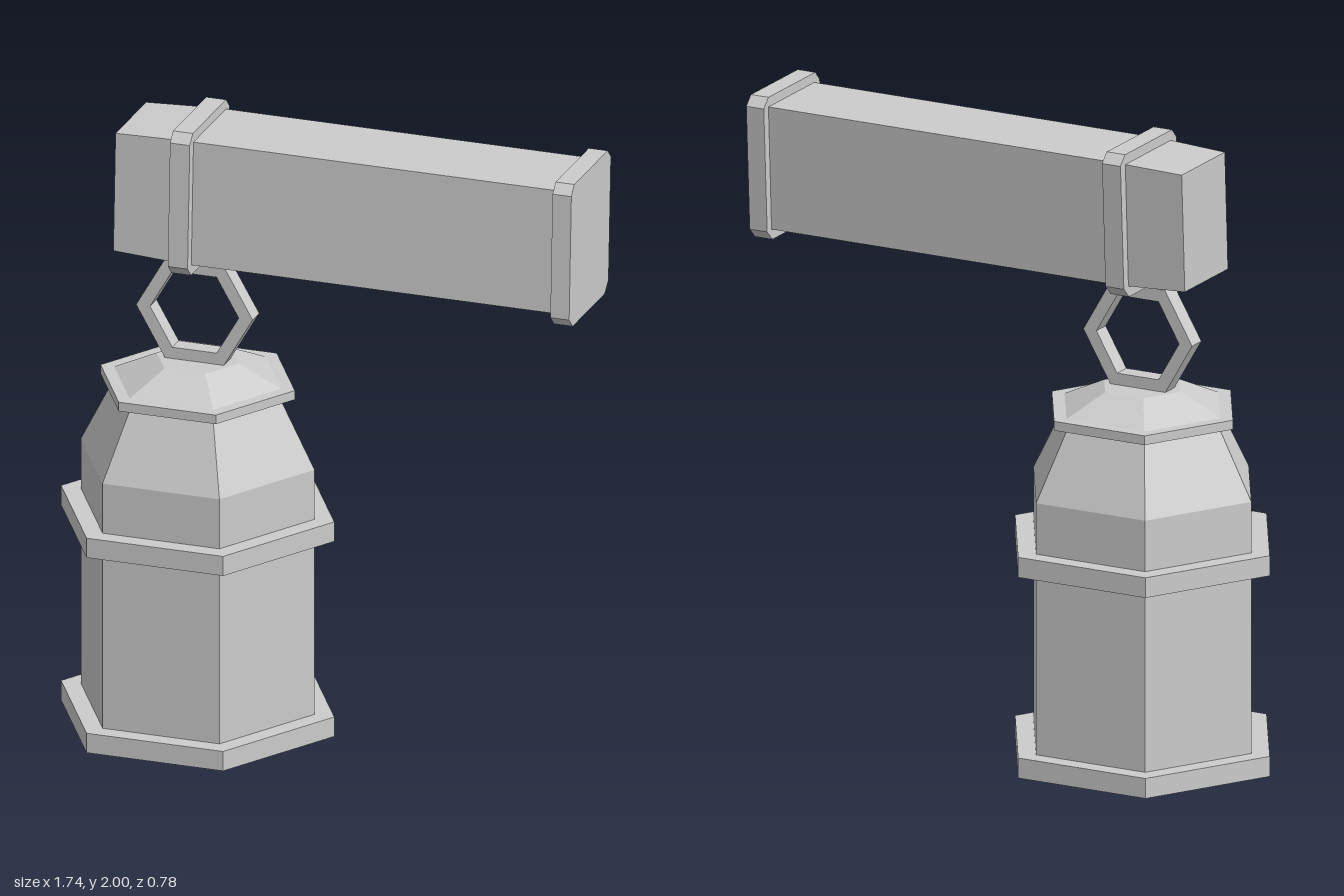
import * as THREE from 'three';

const LANTERN_X = -0.42;

export function createModel() {
  const model = new THREE.Group();
  const material = new THREE.MeshStandardMaterial({ color: 0xcccccc, flatShading: true });

  const add = (name, geometry, parent = model) => {
    const mesh = new THREE.Mesh(geometry, material);
    mesh.name = name;
    parent.add(mesh);
    return mesh;
  };

  // Hexagonal lantern, corners pointing along x
  const lantern = new THREE.Group();
  lantern.name = 'lantern';
  lantern.position.x = LANTERN_X;
  model.add(lantern);

  const hexPart = (name, y0, y1, r0, r1 = r0) => {
    const geometry = new THREE.CylinderGeometry(r1, r0, y1 - y0, 6);
    geometry.rotateY(Math.PI / 2);
    geometry.translate(0, (y0 + y1) / 2, 0);
    add(name, geometry, lantern);
  };
  hexPart('base', 0, 0.065, 0.45);
  hexPart('body', 0.065, 0.88, 0.385);
  hexPart('middleTrim', 0.65, 0.715, 0.45);
  hexPart('shoulder', 0.88, 1.105, 0.385, 0.27);
  hexPart('capRim', 1.105, 1.135, 0.32);
  hexPart('roof', 1.135, 1.2, 0.275, 0.135);

  // Hexagonal hanging ring
  const hexPoints = (r) => Array.from({ length: 6 }, (_, i) =>
    new THREE.Vector2(r * Math.cos(i * Math.PI / 3), r * Math.sin(i * Math.PI / 3)));
  const ringShape = new THREE.Shape(hexPoints(0.192));
  ringShape.holes.push(new THREE.Path(hexPoints(0.146)));
  const ring = new THREE.ExtrudeGeometry(ringShape, { depth: 0.06, bevelEnabled: false });
  ring.translate(0, 1.364, -0.03);
  add('hangingRing', ring, lantern);

  // Leaning beam, slightly narrower beyond the ring end
  const beam = new THREE.BoxGeometry(2, 2, 2, 2, 1, 1);
  const stations = [
    { x: -0.65, height: 0.192, depth: 0.139 },
    { x: -0.42, height: 0.201, depth: 0.148 },
    { x: 0.86, height: 0.201, depth: 0.148 },
  ];
  const p = beam.attributes.position;
  for (let i = 0; i < p.count; i++) {
    const s = stations[Math.round(p.getX(i)) + 1];
    const side = p.getY(i);
    p.setXYZ(i, s.x, 1.768 + side * s.height, -0.017 - side * 0.01 + p.getZ(i) * s.depth);
  }
  beam.computeVertexNormals();
  add('beam', beam);

  // Chamfered bands around the beam: profile points are (-z, y)
  const bandShape = new THREE.Shape([
    [-0.143, 1.533], [0.15, 1.533], [0.183, 1.566], [0.205, 1.97],
    [0.175, 2], [-0.127, 2], [-0.155, 1.97], [-0.175, 1.566],
  ].map(([x, y]) => new THREE.Vector2(x, y)));
  const band = (name, x0, x1) => {
    const geometry = new THREE.ExtrudeGeometry(bandShape, { depth: x1 - x0, bevelEnabled: false });
    geometry.rotateY(Math.PI / 2);
    geometry.translate(x0, 0, 0);
    add(name, geometry);
  };
  band('hangerBand', -0.455, -0.39);
  band('endBand', 0.805, 0.867);

  return model;
}
